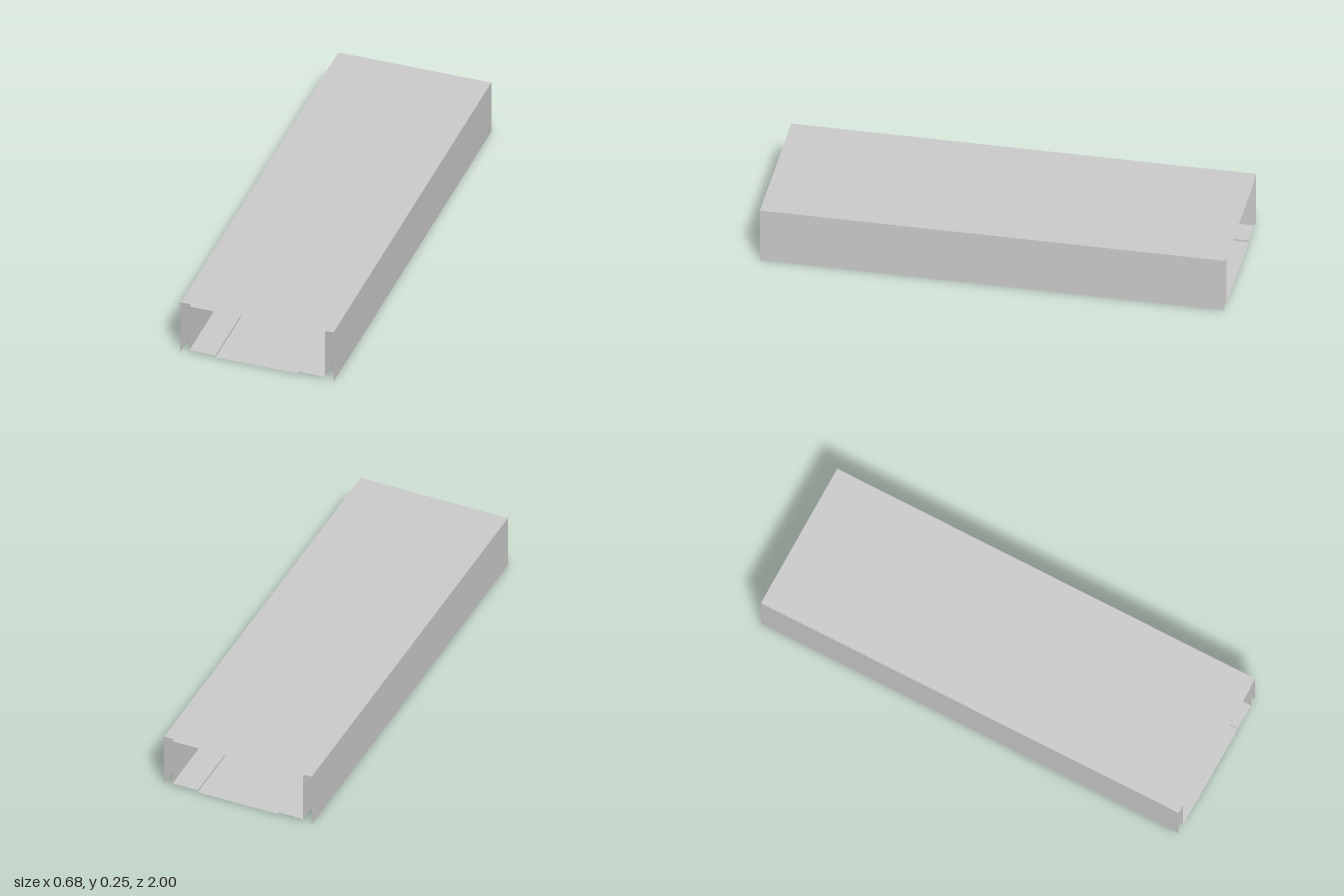
import * as THREE from 'three';

const HALF_LENGTH = 1;
const material = new THREE.MeshStandardMaterial({
  color: 0xcccccc, flatShading: true, side: THREE.DoubleSide,
});

// Thin sheet following an x-y profile, running the full length along z.
function foldedSheet(name, profile) {
  const group = new THREE.Group();
  group.name = name;
  for (let i = 0; i < profile.length - 1; i++) {
    const [x0, y0] = profile[i];
    const [x1, y1] = profile[i + 1];
    const geometry = new THREE.PlaneGeometry(Math.hypot(x1 - x0, y1 - y0), 2 * HALF_LENGTH);
    geometry.rotateX(-Math.PI / 2);
    geometry.rotateZ(Math.atan2(y1 - y0, x1 - x0));
    geometry.translate((x0 + x1) / 2, (y0 + y1) / 2, 0);
    const panel = new THREE.Mesh(geometry, material);
    panel.name = `${name}Panel${i + 1}`;
    group.add(panel);
  }
  return group;
}

export function createModel() {
  const model = new THREE.Group();
  model.name = 'channelDuct';

  // Outer cover: two side walls and a top, open underneath
  const w = 0.342, h = 0.25;
  model.add(foldedSheet('outerCover', [[-w, 0], [-w, h], [w, h], [w, 0]]));

  // Inner duct: closed tube whose floor has a shallow lowered middle
  const iw = 0.303, top = 0.237, floor = 0.015, sunk = 0.005, sx = 0.186;
  model.add(foldedSheet('innerDuct', [
    [-iw, floor], [-iw, top], [iw, top], [iw, floor],
    [sx, floor], [sx, sunk], [-sx, sunk], [-sx, floor], [-iw, floor],
  ]));

  return model;
}
